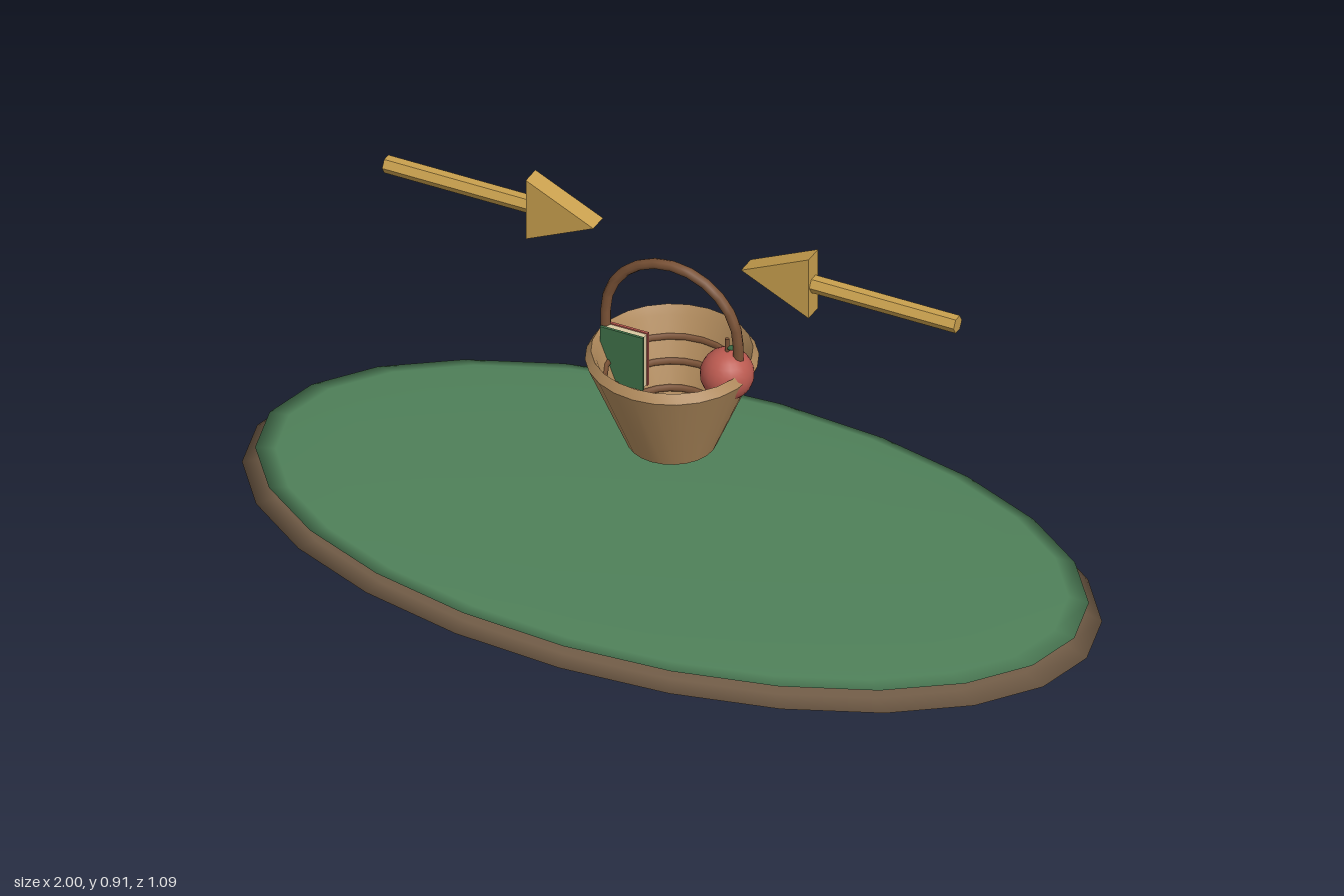
import * as THREE from 'three';
import { toCreasedNormals } from 'three/addons/utils/BufferGeometryUtils.js';

const paint = (color) => new THREE.MeshStandardMaterial({ color });
const soil = paint(0x6f5a45), grass = paint(0x4f8059), wicker = paint(0xb08a5c), wood = paint(0x7a5236);
const red = paint(0xbb5a50), leafGreen = paint(0x3f7048), gold = paint(0xc9a04e), paper = paint(0xd8c8a0);

function add(parent, name, geometry, material, x = 0, y = 0, z = 0) {
  const mesh = new THREE.Mesh(geometry, material);
  mesh.name = name;
  mesh.position.set(x, y, z);
  parent.add(mesh);
  return mesh;
}

// Oval ground: a squashed ball of soil with a thinner one of grass on top
function ground(parent) {
  const ball = new THREE.SphereGeometry(1, 24, 10);
  add(parent, 'soil', ball, soil, 0, 0.06, 0).scale.set(1, 0.06, 0.545);
  add(parent, 'grass', ball, grass, 0, 0.103, 0).scale.set(0.97, 0.02, 0.523);
}

function basket(parent) {
  const group = new THREE.Group();
  group.name = 'basket';
  parent.add(group);

  // Hollow tapered bowl with a bevelled rim
  const profile = [[0, 0.325], [0.098, 0.325], [0.188, 0.54], [0.175, 0.56], [0.163, 0.54], [0.086, 0.345], [0, 0.345]]
    .map(([r, y]) => new THREE.Vector2(r, y));
  add(group, 'bowl', toCreasedNormals(new THREE.LatheGeometry(profile, 24), 0.5), wicker);

  // Woven bands inside
  for (const [r, y] of [[0.147, 0.495], [0.126, 0.445], [0.104, 0.39]]) {
    add(group, 'band', new THREE.TorusGeometry(r, 0.008, 6, 24), wood, 0, y, 0).rotation.x = Math.PI / 2;
  }

  // Arched handle with straight legs
  const arch = new THREE.CurvePath();
  const point = (x, y) => new THREE.Vector3(x, y, 0);
  const points = [point(0.16, 0.53)];
  for (let i = 0; i <= 12; i++) {
    const a = (i / 12) * Math.PI;
    points.push(point(0.16 * Math.cos(a), 0.615 + 0.16 * Math.sin(a)));
  }
  points.push(point(-0.16, 0.53));
  for (let i = 1; i < points.length; i++) arch.add(new THREE.LineCurve3(points[i - 1], points[i]));
  add(group, 'handle', new THREE.TubeGeometry(arch, 32, 0.012, 8), wood);
}

function apple(parent) {
  const group = new THREE.Group();
  group.name = 'apple';
  group.position.set(0.133, 0.537, 0);
  parent.add(group);
  add(group, 'fruit', new THREE.SphereGeometry(0.059, 20, 14), red);
  add(group, 'stem', new THREE.CylinderGeometry(0.005, 0.005, 0.04, 6), wood, 0, 0.07, 0);
  const leaf = add(group, 'leaf', new THREE.SphereGeometry(0.016, 8, 6), leafGreen, 0.015, 0.071, 0);
  leaf.scale.set(1, 0.35, 0.6);
  leaf.rotation.z = 0.3;
}

// Upright book: green front cover, red back cover, pages between
function book(parent) {
  const group = new THREE.Group();
  group.name = 'book';
  group.position.set(-0.111, 0.514, 0.008);
  parent.add(group);
  add(group, 'pages', new THREE.BoxGeometry(0.1, 0.13, 0.018), paper);
  add(group, 'frontCover', new THREE.BoxGeometry(0.104, 0.136, 0.006), leafGreen, 0, 0, 0.011);
  add(group, 'backCover', new THREE.BoxGeometry(0.104, 0.136, 0.006), red, 0, 0, -0.011);
}

// Arrow on one side, pointing at the basket
function arrow(parent, side) {
  const group = new THREE.Group();
  group.name = side > 0 ? 'leftArrow' : 'rightArrow';
  group.position.y = 0.832;
  group.rotation.y = side > 0 ? 0 : Math.PI;
  parent.add(group);
  const shaft = new THREE.CylinderGeometry(0.02, 0.02, 0.35, 6).rotateZ(Math.PI / 2);
  add(group, 'shaft', toCreasedNormals(shaft, 0.5), gold, 0.514, 0, 0);
  const triangle = new THREE.Shape([[0.178, 0], [0.341, -0.076], [0.341, 0.076]].map(([x, y]) => new THREE.Vector2(x, y)));
  const head = new THREE.ExtrudeGeometry(triangle, { depth: 0.046, bevelEnabled: false });
  add(group, 'head', head, gold, 0, 0, -0.023);
}

export function createModel() {
  const model = new THREE.Group();
  ground(model);
  basket(model);
  apple(model);
  book(model);
  for (const side of [-1, 1]) arrow(model, side);
  return model;
}
